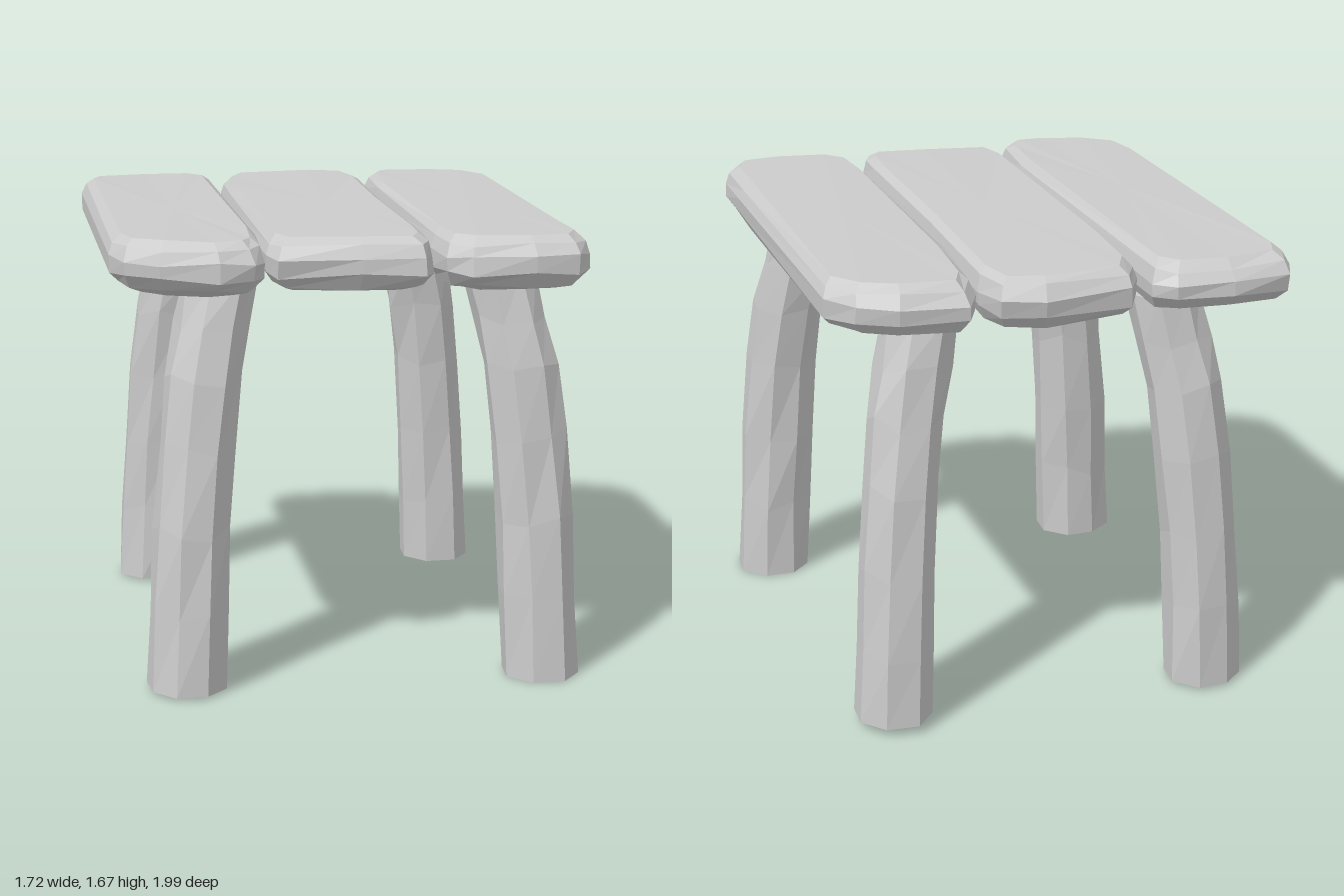
import * as THREE from 'three';

const material = new THREE.MeshStandardMaterial({ color: 0xcccccc, flatShading: true });

// Small seeded noise for the hand-hewn irregularities
function makeNoise(seed) {
  return (amount) => {
    seed = (seed * 16807) % 2147483647;
    return (seed / 2147483647 - 0.5) * 2 * amount;
  };
}

// Skin a stack of equal-length rings (bottom to top) and close both ends
function loft(name, rings) {
  const n = rings[0].length;
  const positions = [];
  const tri = (...points) => points.forEach((p) => positions.push(p.x, p.y, p.z));
  const middle = (ring) => ring.reduce((s, p) => s.add(p), new THREE.Vector3()).divideScalar(n);
  const bottom = rings[0], top = rings[rings.length - 1];
  const bottomMid = middle(bottom), topMid = middle(top);
  for (let j = 0; j < n; j++) {
    const k = (j + 1) % n;
    for (let i = 0; i < rings.length - 1; i++) {
      const lo = rings[i], hi = rings[i + 1];
      tri(lo[j], hi[j], lo[k]);
      tri(lo[k], hi[j], hi[k]);
    }
    tri(bottomMid, bottom[j], bottom[k]);
    tri(topMid, top[k], top[j]);
  }
  const geometry = new THREE.BufferGeometry();
  geometry.setAttribute('position', new THREE.Float32BufferAttribute(positions, 3));
  geometry.computeVertexNormals();
  const mesh = new THREE.Mesh(geometry, material);
  mesh.name = name;
  return mesh;
}

// Seat plank: a plan outline [x, z] stacked in layers with worn, bevelled edges
function plank(name, outline, seed) {
  const noise = makeNoise(seed);
  const xs = outline.map((p) => p[0]), zs = outline.map((p) => p[1]);
  const x0 = Math.min(...xs), x1 = Math.max(...xs);
  const z0 = Math.min(...zs), z1 = Math.max(...zs);
  const cx = (x0 + x1) / 2, cz = (z0 + z1) / 2;
  // [height, side inset, end inset]
  const layers = [
    [1.47, 0.08, 0.14], [1.495, 0.03, 0.05], [1.54, 0, 0.005],
    [1.6, 0, 0], [1.645, 0.015, 0.025], [1.672, 0.045, 0.07],
  ];
  const rings = layers.map(([y, side, end], i) => {
    const sx = 1 - (2 * side) / (x1 - x0), sz = 1 - (2 * end) / (z1 - z0);
    const rim = i > 0 && i < layers.length - 1;
    return outline.map(([x, z]) => new THREE.Vector3(
      cx + (x - cx) * sx + noise(0.004),
      y + noise(rim ? 0.01 : 0.002),
      cz + (z - cz) * sz + noise(0.008)));
  });
  return loft(name, rings);
}

// Leg: a rounded-square log that bends inward towards the seat
const bend = [[0, 0], [0.3, 0.01], [0.6, 0.025], [0.9, 0.05], [1.15, 0.08], [1.33, 0.115], [1.5, 0.15]];
function leg(name, footX, footZ, footY, seed) {
  const noise = makeNoise(seed);
  const sides = 8;
  const wobble = Array.from({ length: sides }, () => noise(0.008));
  const rings = bend.map(([h, inward], i) => {
    const x = footX - Math.sign(footX) * inward;
    const z = footZ - Math.sign(footZ) * inward * 0.85;
    const half = 0.14 - 0.007 * h;
    return wobble.map((w, j) => {
      const a = ((j + 0.5) / sides) * Math.PI * 2;
      const r = half * 1.07 + w + noise(0.008);
      return new THREE.Vector3(
        x + Math.cos(a) * r,
        i === 0 ? footY : h + (i < bend.length - 1 ? noise(0.03) : 0),
        z + Math.sin(a) * r);
    });
  });
  return loft(name, rings);
}

export function createModel() {
  const stool = new THREE.Group();
  stool.name = 'stool';

  // Three planks side by side
  stool.add(
    plank('rightPlank', [
      [-0.32, 0.6], [-0.335, 0.88], [-0.38, 0.95], [-0.5, 0.97], [-0.7, 0.91], [-0.82, 0.82], [-0.86, 0.68],
      [-0.86, -0.85], [-0.82, -0.95], [-0.6, -0.98], [-0.39, -0.97], [-0.32, -0.9],
    ], 11),
    plank('middlePlank', [
      [0.265, 0.7], [0.26, 0.86], [0.22, 0.94], [0, 0.93], [-0.29, 0.89], [-0.32, 0.78], [-0.31, -0.5],
      [-0.29, -0.83], [-0.23, -0.95], [0.1, -0.995], [0.25, -0.96], [0.285, -0.8], [0.265, -0.1],
    ], 23),
    plank('leftPlank', [
      [0.82, 0.6], [0.82, 0.88], [0.76, 0.98], [0.6, 0.99], [0.38, 0.97], [0.3, 0.9], [0.285, 0.7],
      [0.285, -0.5], [0.31, -0.85], [0.36, -0.95], [0.6, -0.93], [0.74, -0.87], [0.825, -0.75],
    ], 37),
  );

  // Four splayed legs
  stool.add(
    leg('frontRightLeg', -0.6, 0.705, 0.01, 101),
    leg('backRightLeg', -0.595, -0.795, 0.01, 211),
    leg('frontLeftLeg', 0.715, 0.7, 0, 307),
    leg('backLeftLeg', 0.615, -0.8, 0.03, 401),
  );
  return stool;
}
